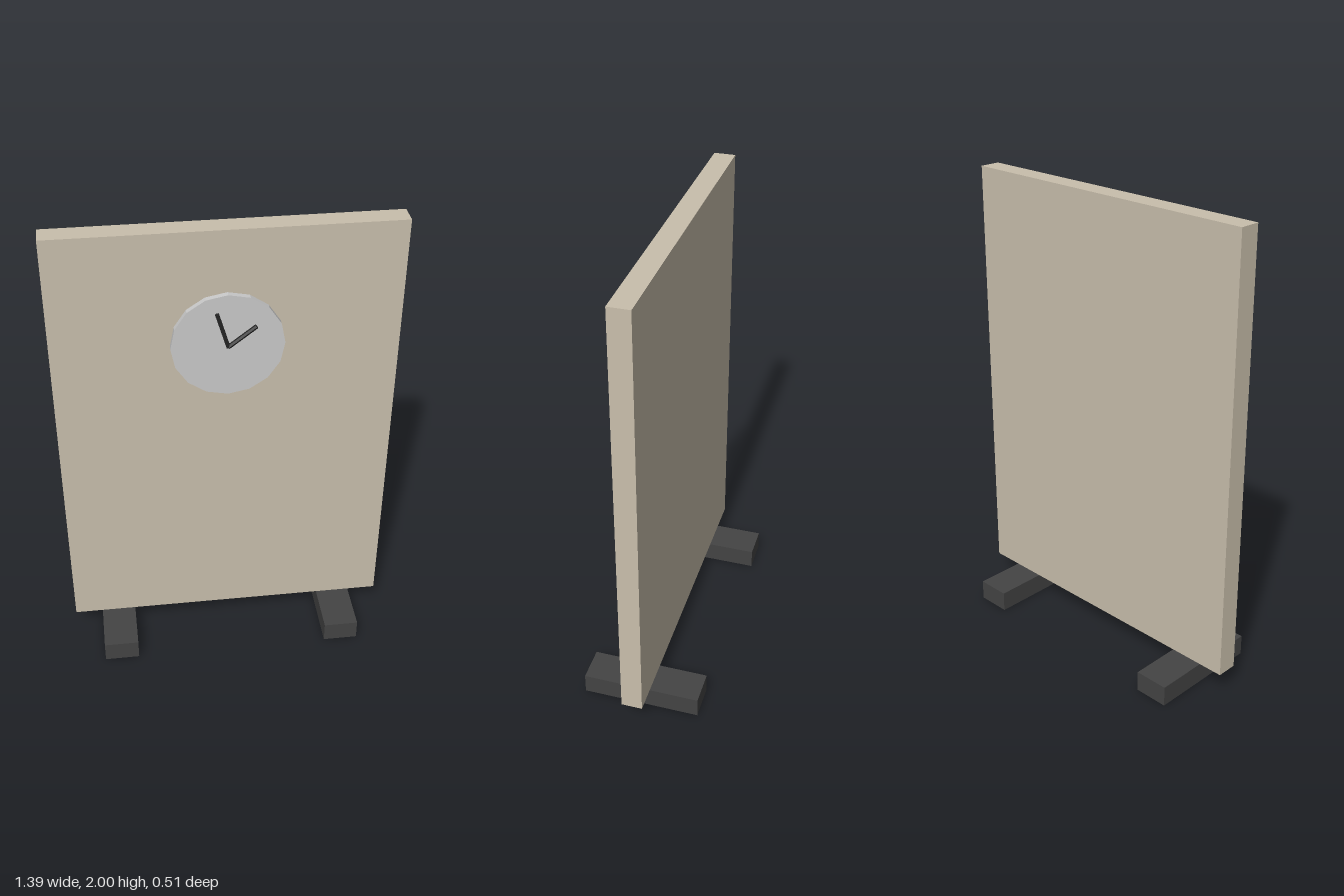
import * as THREE from 'three';

const paint = (name, color) => {
  const m = new THREE.MeshStandardMaterial({ color });
  m.name = name;
  return m;
};

export function createModel() {
  const model = new THREE.Group();
  model.name = 'standingBoardWithClock';

  const beige = paint('beige board', 0xc9bfac);
  const dark = paint('dark grey feet', 0x444444);
  const grey = paint('light grey dial', 0xcacaca);
  const black = paint('black hands', 0x262626);
  grey.flatShading = true;
  black.flatShading = true;

  const add = (name, geometry, material, x, y, z) => {
    const mesh = new THREE.Mesh(geometry, material);
    mesh.name = name;
    mesh.position.set(x, y, z);
    model.add(mesh);
    return mesh;
  };

  // Upright board
  add('board', new THREE.BoxGeometry(1.392, 1.895, 0.09), beige, 0, 1.0525, 0);

  // Two feet running front to back
  for (const side of [-1, 1]) {
    add(side > 0 ? 'leftFoot' : 'rightFoot',
      new THREE.BoxGeometry(0.15, 0.09, 0.506), dark, side * 0.5, 0.045, 0);
  }

  // Clock dial, standing slightly off the board
  const cy = 1.522;
  const dial = new THREE.CylinderGeometry(0.226, 0.226, 0.024, 16).rotateX(Math.PI / 2);
  add('clockDial', dial, grey, 0, cy, 0.073);

  // Clock hands: thin rods from the centre of the dial
  const addHand = (name, dx, dy) => {
    const rod = new THREE.CylinderGeometry(0.009, 0.009, Math.hypot(dx, dy), 6);
    const hand = add(name, rod, black, dx / 2, cy + dy / 2, 0.093);
    hand.rotation.z = -Math.atan2(dx, dy);
  };
  addHand('hourHand', -0.044, 0.15);
  addHand('minuteHand', 0.11, 0.086);

  return model;
}
